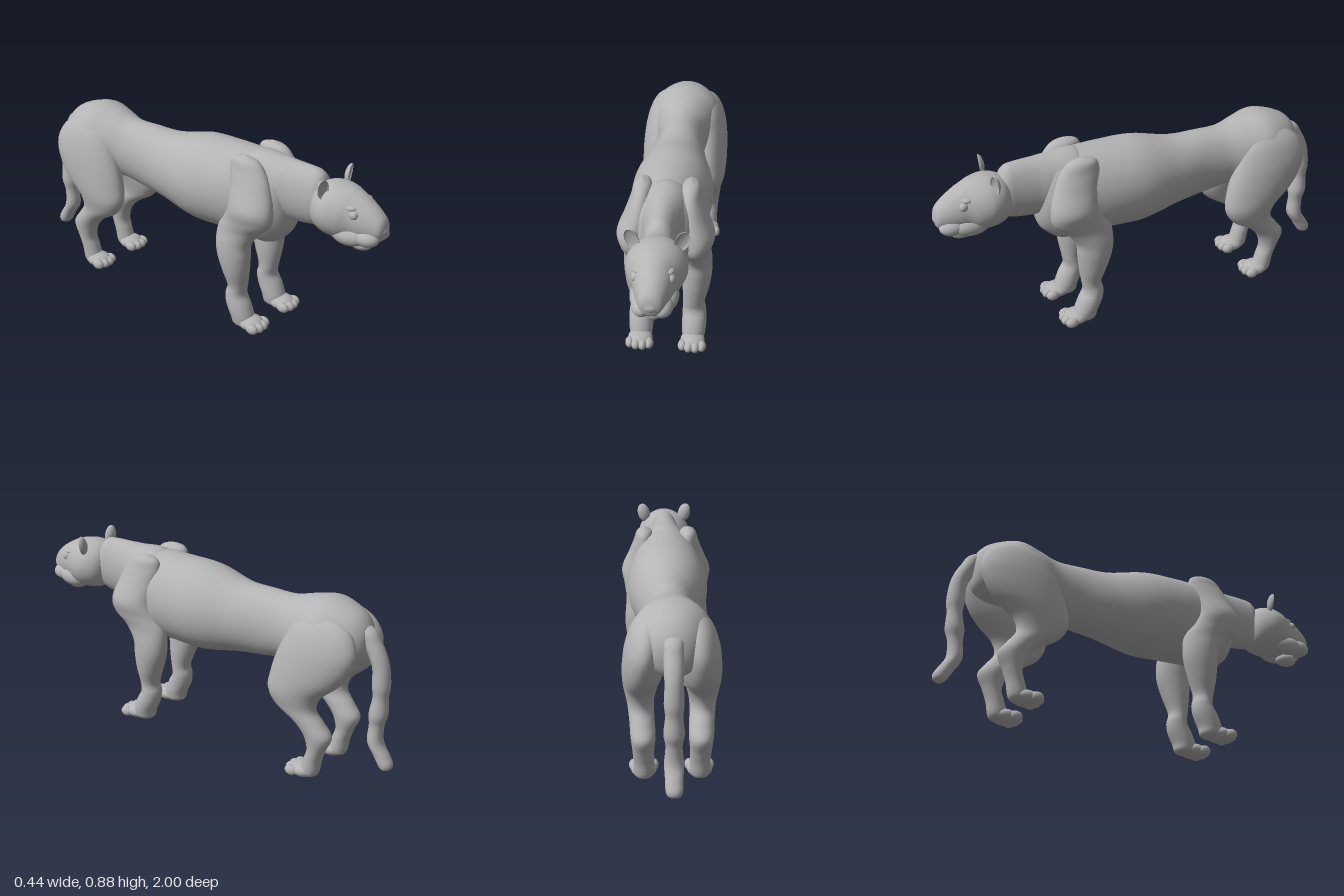
import * as THREE from 'three';

const fur = new THREE.MeshStandardMaterial({ color: 0xb4b4b4 });
fur.name = 'grey fur';

// Smooth tube through elliptical sections. Rows rise along the axis:
// axis 'z': [z, x, y, rx, ry]   axis 'y': [y, x, z, rx, rz]
function loft(name, axis, rows, steps = 6, sides = 36) {
  const centres = new THREE.CatmullRomCurve3(rows.map(r => new THREE.Vector3(r[1], r[2], r[0])), false, 'catmullrom');
  const radii = new THREE.CatmullRomCurve3(rows.map(r => new THREE.Vector3(r[3], r[4], 0)), false, 'catmullrom');
  const n = (rows.length - 1) * steps;
  const pos = [], index = [];
  for (let i = 0; i <= n; i++) {
    const c = centres.getPoint(i / n), r = radii.getPoint(i / n);
    for (let j = 0; j < sides; j++) {
      const a = (j / sides) * Math.PI * 2;
      const u = Math.max(r.x, 0.0005) * Math.cos(a), v = Math.max(r.y, 0.0005) * Math.sin(a);
      if (axis === 'z') pos.push(c.x + u, c.y + v, c.z);
      else pos.push(c.x + u, c.z, c.y - v);
      if (i < n) {
        const p = i * sides + j, q = i * sides + (j + 1) % sides;
        index.push(p, q, p + sides, q, q + sides, p + sides);
      }
    }
  }
  const geo = new THREE.BufferGeometry();
  geo.setAttribute('position', new THREE.Float32BufferAttribute(pos, 3));
  geo.setIndex(index);
  geo.computeVertexNormals();
  const mesh = new THREE.Mesh(geo, fur);
  mesh.name = name;
  return mesh;
}

const ball = new THREE.SphereGeometry(1, 28, 20);
function blob(name, [x, y, z], [rx, ry, rz], geo = ball) {
  const mesh = new THREE.Mesh(geo, fur);
  mesh.name = name;
  mesh.position.set(x, y, z);
  mesh.scale.set(rx, ry, rz);
  return mesh;
}

// Ear: a ball whose front half is pushed in to make a cup
const earGeo = new THREE.SphereGeometry(1, 32, 32);
const ep = earGeo.attributes.position;
for (let i = 0; i < ep.count; i++) if (ep.getZ(i) > 0) ep.setZ(i, ep.getZ(i) * -0.5);
earGeo.computeVertexNormals();

// Paw with four toes
function paw(name, x, z) {
  const g = new THREE.Group();
  g.name = name;
  g.add(blob('pad', [x, 0.036, z], [0.058, 0.036, 0.065]));
  [-0.046, -0.016, 0.016, 0.046].forEach(dx =>
    g.add(blob('toe', [x + dx, 0.033, z + (Math.abs(dx) < 0.03 ? 0.05 : 0.038)], [0.021, 0.025, 0.032])));
  return g;
}

export function createModel() {
  const cat = new THREE.Group();
  cat.name = 'bigCat';

  cat.add(loft('torso', 'z', [
    [-0.86, 0, 0.68, 0, 0], [-0.84, 0, 0.68, 0.075, 0.085], [-0.78, 0, 0.69, 0.13, 0.135],
    [-0.66, 0, 0.7, 0.175, 0.162], [-0.55, 0, 0.68, 0.15, 0.165], [-0.45, 0, 0.665, 0.12, 0.155],
    [-0.32, 0, 0.655, 0.12, 0.165], [-0.18, 0, 0.648, 0.147, 0.174], [0, 0, 0.652, 0.187, 0.212],
    [0.15, 0, 0.656, 0.187, 0.215], [0.28, 0, 0.657, 0.17, 0.216], [0.4, 0, 0.65, 0.15, 0.217],
    [0.47, 0, 0.655, 0.12, 0.18], [0.51, 0, 0.64, 0.07, 0.11], [0.525, 0, 0.64, 0, 0]]));

  cat.add(loft('neck', 'z', [
    [0.22, 0, 0.75, 0, 0], [0.3, 0, 0.75, 0.11, 0.122], [0.45, 0, 0.735, 0.1, 0.139],
    [0.52, 0, 0.729, 0.086, 0.144], [0.6, 0, 0.731, 0.076, 0.14], [0.65, 0, 0.733, 0.07, 0.13],
    [0.68, 0, 0.735, 0.05, 0.09], [0.69, 0, 0.735, 0, 0]]));

  cat.add(loft('tail', 'y', [
    [0.086, 0, -0.968, 0, 0], [0.1, 0, -0.968, 0.03, 0.026], [0.125, 0, -0.962, 0.038, 0.037],
    [0.16, 0, -0.942, 0.039, 0.038], [0.22, 0, -0.908, 0.042, 0.037], [0.3, 0, -0.909, 0.036, 0.035],
    [0.36, 0, -0.915, 0.045, 0.044], [0.44, 0, -0.92, 0.038, 0.036], [0.5, 0, -0.92, 0.043, 0.042],
    [0.58, 0, -0.914, 0.04, 0.04], [0.64, 0, -0.893, 0.042, 0.043], [0.7, 0, -0.86, 0.042, 0.044],
    [0.75, 0, -0.825, 0.038, 0.044], [0.78, 0, -0.79, 0, 0]]));

  // Head
  const head = new THREE.Group();
  head.name = 'head';
  head.add(loft('skull', 'z', [
    [0.635, 0, 0.715, 0, 0], [0.647, 0, 0.715, 0.07, 0.07], [0.68, 0, 0.715, 0.112, 0.109],
    [0.74, 0, 0.715, 0.134, 0.125], [0.8, 0, 0.71, 0.122, 0.125], [0.85, 0, 0.706, 0.096, 0.114],
    [0.9, 0, 0.697, 0.08, 0.098], [0.95, 0, 0.685, 0.062, 0.077], [0.985, 0, 0.678, 0.042, 0.047],
    [0.998, 0, 0.675, 0, 0]]));
  head.add(blob('nose', [0, 0.672, 0.978], [0.034, 0.026, 0.021]));
  head.add(blob('chin', [0, 0.582, 0.875], [0.043, 0.032, 0.055]));
  for (const s of [1, -1]) {
    head.add(blob('muzzle', [s * 0.042, 0.637, 0.92], [0.046, 0.04, 0.064]));
    head.add(blob('cheek', [s * 0.06, 0.632, 0.84], [0.044, 0.046, 0.085]));
    head.add(blob('brow', [s * 0.06, 0.768, 0.85], [0.026, 0.014, 0.03]));
    head.add(blob('eye', [s * 0.074, 0.742, 0.872], [0.018, 0.021, 0.021]));
    const ear = blob('ear', [s * 0.106, 0.832, 0.735], [0.032, 0.05, 0.024], earGeo);
    ear.rotation.set(0.1, s * 0.25, s * -0.3);
    head.add(ear);
  }
  cat.add(head);

  // Legs, mirrored left and right
  for (const s of [1, -1]) {
    const side = s > 0 ? 'left' : 'right';
    const mirror = rows => rows.map(([y, x, ...rest]) => [y, s * x, ...rest]);
    cat.add(loft(side + 'FrontLeg', 'y', mirror([
      [0.008, 0.125, 0.34, 0, 0], [0.02, 0.125, 0.335, 0.044, 0.05], [0.06, 0.126, 0.33, 0.056, 0.058],
      [0.12, 0.127, 0.306, 0.058, 0.06], [0.17, 0.125, 0.29, 0.055, 0.05], [0.22, 0.124, 0.297, 0.052, 0.048],
      [0.3, 0.132, 0.29, 0.064, 0.068], [0.38, 0.137, 0.281, 0.069, 0.085], [0.45, 0.137, 0.281, 0.068, 0.092],
      [0.52, 0.135, 0.31, 0.065, 0.112], [0.58, 0.142, 0.36, 0.068, 0.125], [0.65, 0.145, 0.378, 0.076, 0.114],
      [0.74, 0.122, 0.358, 0.064, 0.106], [0.81, 0.11, 0.335, 0.05, 0.096], [0.86, 0.108, 0.32, 0.036, 0.066],
      [0.88, 0.108, 0.315, 0, 0]])));
    cat.add(paw(side + 'FrontPaw', s * 0.125, 0.38));

    cat.add(loft(side + 'HindLeg', 'y', mirror([
      [0.008, 0.125, -0.64, 0, 0], [0.025, 0.125, -0.642, 0.042, 0.044], [0.1, 0.125, -0.66, 0.046, 0.043],
      [0.16, 0.127, -0.678, 0.048, 0.045], [0.23, 0.128, -0.68, 0.055, 0.07], [0.29, 0.132, -0.632, 0.056, 0.078],
      [0.35, 0.138, -0.566, 0.06, 0.105], [0.42, 0.138, -0.557, 0.075, 0.136], [0.5, 0.13, -0.604, 0.088, 0.175],
      [0.58, 0.125, -0.641, 0.09, 0.19], [0.66, 0.118, -0.666, 0.086, 0.183], [0.74, 0.108, -0.672, 0.07, 0.145],
      [0.79, 0.1, -0.67, 0.04, 0.08], [0.81, 0.095, -0.67, 0, 0]])));
    cat.add(paw(side + 'HindPaw', s * 0.125, -0.61));
  }
  return cat;
}
